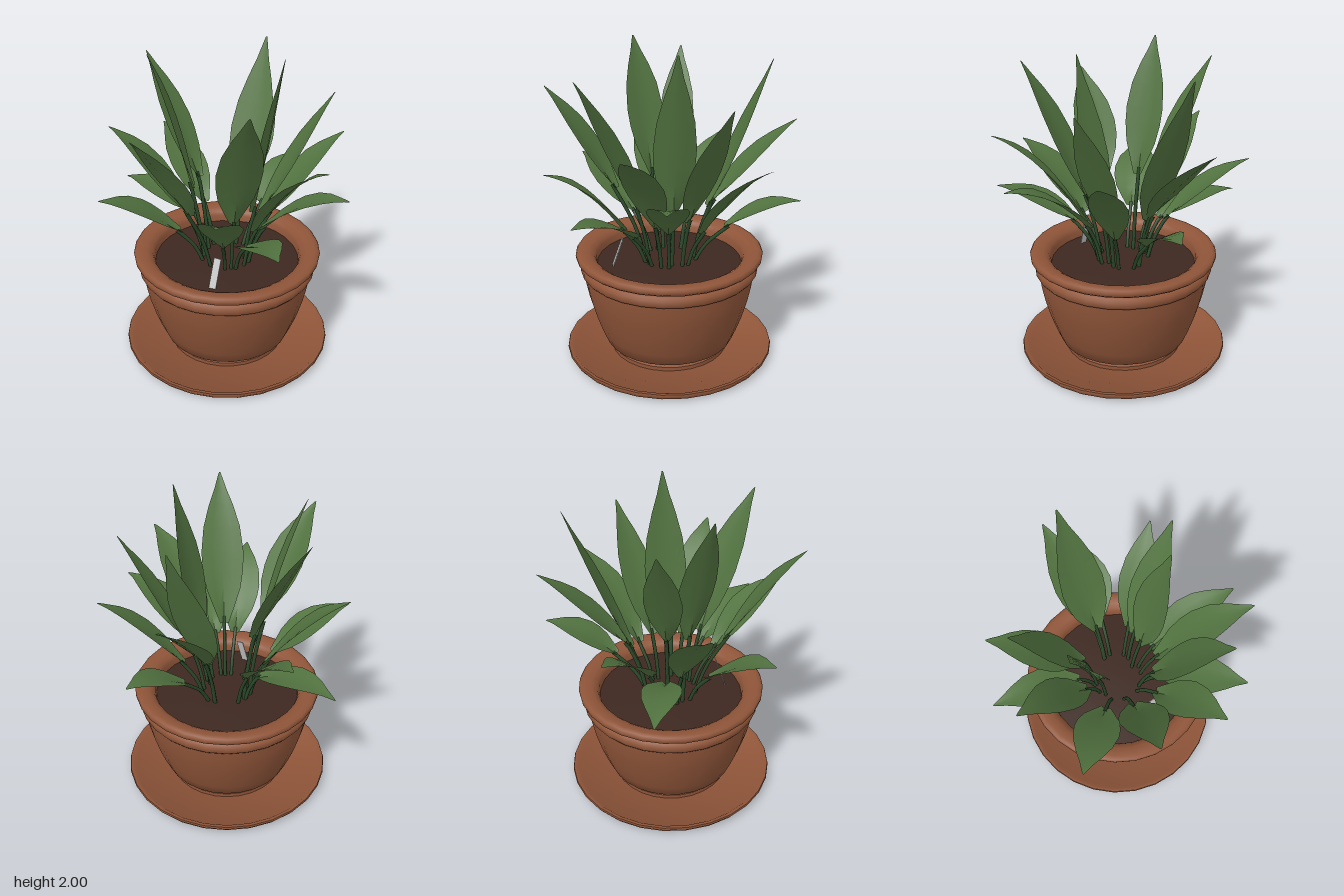
import * as THREE from 'three';
import { toCreasedNormals } from 'three/addons/utils/BufferGeometryUtils.js';

const mat = (color, side = THREE.FrontSide) => new THREE.MeshStandardMaterial({ color, side });
const CLAY = mat(0x8f5539), SOIL = mat(0x3d2820), STEM = mat(0x2c4a2a);
const LEAF = mat(0x527340, THREE.DoubleSide), TAG = mat(0xcccccc);
const SOIL_Y = 0.63;
const CENTRE = new THREE.Vector3(0.015, 0, 0.015);

function addMesh(parent, name, geometry, material) {
  const mesh = new THREE.Mesh(geometry, material);
  mesh.name = name;
  parent.add(mesh);
  return mesh;
}

// Round part turned from [radius, height] pairs
function turned(profile, sides = 28) {
  const points = profile.map(([r, y]) => new THREE.Vector2(r, y));
  return toCreasedNormals(new THREE.LatheGeometry(points, sides), 1);
}

// Blade outline: [position along the blade, share of the full half width]
const OUTLINE = [[0, 0.2], [0.08, 0.45], [0.2, 0.8], [0.32, 0.96], [0.43, 1], [0.6, 0.86],
  [0.75, 0.57], [0.87, 0.28], [0.95, 0.13], [1, 0.03]];

// Blade lofted along a curve, its edges folded up from the midrib, most of all at the base
function bladeGeometry(curve, side, halfWidth) {
  const across = [-1, -0.5, 0, 0.5, 1];
  const pos = [], index = [];
  OUTLINE.forEach(([t, share], i) => {
    const p = curve.getPoint(t), up = side.clone().cross(curve.getTangent(t)).normalize();
    if (up.y < 0) up.negate();
    const fold = 0.15 * share * halfWidth + 0.02 * (1 - t) ** 5;
    for (const s of across) {
      const v = p.clone().addScaledVector(side, s * share * halfWidth).addScaledVector(up, Math.abs(s) * fold);
      pos.push(v.x, v.y, v.z);
    }
    if (i === 0) return;
    for (let j = 0; j < 4; j++) {
      const a = (i - 1) * 5 + j, b = a + 5;
      index.push(a, a + 1, b, a + 1, b + 1, b);
    }
  });
  const geometry = new THREE.BufferGeometry();
  geometry.setAttribute('position', new THREE.Float32BufferAttribute(pos, 3));
  geometry.setIndex(index);
  return toCreasedNormals(geometry, 0.45);
}

// Leaf: tip position, radius and height where the blade starts, arch, half width
function createLeaf([x, y, z, startR, startY, arch, halfWidth]) {
  const leaf = new THREE.Group();
  leaf.name = 'leaf';
  const tip = new THREE.Vector3(x, y, z);
  const out = tip.clone().sub(CENTRE).setY(0).normalize();
  const side = new THREE.Vector3(out.z, 0, -out.x);
  const at = (r, h) => CENTRE.clone().addScaledVector(out, r).setY(h);
  const start = at(startR, startY);
  const bend = start.clone().lerp(tip, 0.5);
  bend.y += arch * 2;
  const rib = new THREE.QuadraticBezierCurve3(start, bend, tip);

  // Stalk, ending just inside the base of the blade
  const baseR = Math.min(0.15, startR * 0.65);
  const stalk = new THREE.CatmullRomCurve3([at(baseR, SOIL_Y - 0.03),
    at(baseR + (startR - baseR) * 0.4, (SOIL_Y + startY) / 2), start, rib.getPoint(0.04)]);
  addMesh(leaf, 'stalk', new THREE.TubeGeometry(stalk, 8, 0.012, 6), STEM);
  addMesh(leaf, 'blade', bladeGeometry(rib, side, halfWidth), LEAF);
  return leaf;
}

const LEAVES = [
  // back
  [-0.13, 1.53, -0.76, 0.27, 1.0, 0.04, 0.13],
  [0.10, 1.08, -0.79, 0.36, 0.87, 0.05, 0.125],
  [-0.08, 1.91, -0.60, 0.25, 0.98, -0.02, 0.14],
  [0.50, 1.40, -0.59, 0.28, 0.88, 0.06, 0.115],
  [0.52, 1.74, -0.37, 0.22, 0.95, 0.02, 0.115],
  // left
  [0.81, 1.25, -0.03, 0.25, 0.90, 0.08, 0.125],
  [0.78, 1.52, 0.21, 0.25, 0.92, 0.09, 0.125],
  [0.35, 2.00, -0.06, 0.18, 1.0, 0, 0.13],
  // front
  [0.66, 1.09, 0.51, 0.31, 0.87, 0.05, 0.13],
  [0.39, 1.31, 0.71, 0.31, 0.88, 0.07, 0.13],
  [0.46, 1.87, 0.50, 0.24, 1.0, 0.05, 0.135],
  [-0.09, 1.72, 0.79, 0.35, 1.08, 0.04, 0.14],
  [-0.48, 1.18, 0.64, 0.31, 0.87, 0.05, 0.14],
  // right
  [-0.70, 1.46, 0.25, 0.26, 0.90, 0.07, 0.125],
  [-0.36, 1.99, 0.27, 0.22, 1.14, 0.05, 0.125],
  [-0.81, 0.97, -0.02, 0.26, 0.86, 0.06, 0.12],
  [-0.59, 1.89, -0.02, 0.22, 1.14, 0.03, 0.11],
  [-0.70, 1.29, -0.31, 0.27, 0.90, 0.05, 0.125],
];

export function createModel() {
  const model = new THREE.Group();
  model.name = 'pottedPlant';

  const planter = new THREE.Group();
  planter.name = 'planter';
  planter.position.copy(CENTRE);
  model.add(planter);

  // Saucer with a low lip
  addMesh(planter, 'saucer', turned([[0, 0], [0.63, 0], [0.655, 0.015], [0.672, 0.04], [0.668, 0.052],
    [0.648, 0.052], [0.625, 0.028], [0, 0.028]]), CLAY);
  // Pot with a foot, a raised band and a rolled rim
  addMesh(planter, 'pot', turned([[0, 0.03], [0.38, 0.03], [0.38, 0.055], [0.355, 0.065], [0.365, 0.075],
    [0.415, 0.095], [0.45, 0.18], [0.485, 0.28], [0.518, 0.4], [0.538, 0.5], [0.543, 0.57],
    [0.558, 0.572], [0.567, 0.585], [0.567, 0.62], [0.552, 0.635], [0.53, 0.645], [0.54, 0.655],
    [0.575, 0.66], [0.593, 0.675], [0.596, 0.695], [0.586, 0.71], [0.56, 0.715], [0.51, 0.705],
    [0.478, 0.685], [0.466, 0.66], [0.46, 0.6]]), CLAY);
  // Soil, slightly mounded
  addMesh(planter, 'soil', turned([[0.465, SOIL_Y - 0.01], [0.25, SOIL_Y + 0.005], [0, SOIL_Y + 0.01]]), SOIL);

  // Plant
  const plant = new THREE.Group();
  plant.name = 'plant';
  LEAVES.forEach((spec) => plant.add(createLeaf(spec)));
  model.add(plant);

  // Plant label, leaning back
  const tag = addMesh(model, 'label', new THREE.BoxGeometry(0.045, 0.22, 0.006), TAG);
  tag.position.set(0.13, 0.705, 0.335);
  tag.rotation.set(-0.33, 0.2, 0);

  return model;
}
